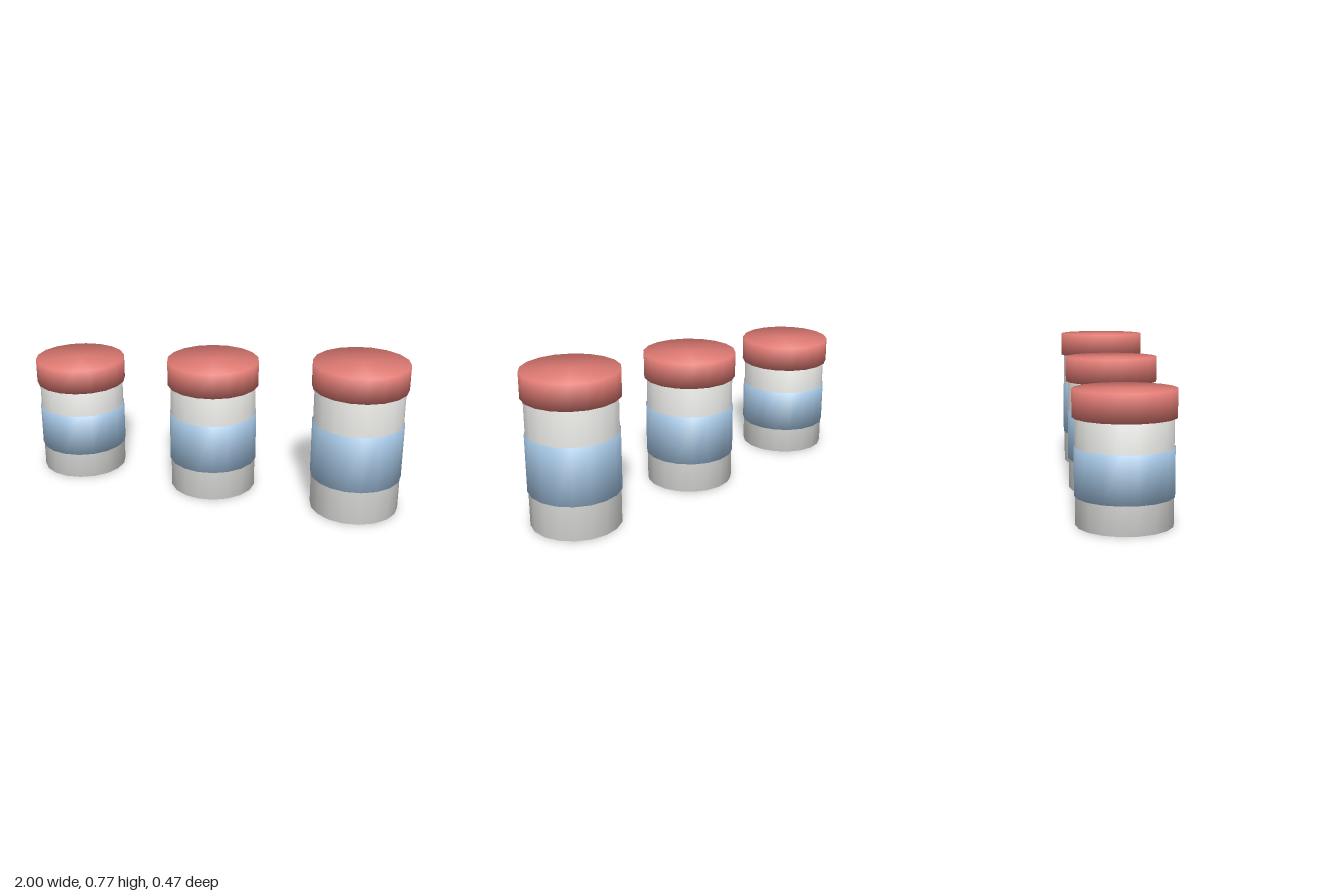
import * as THREE from 'three';
import { mergeVertices } from 'three/addons/utils/BufferGeometryUtils.js';

const SIDES = 18;

// Closed cylinder whose normals are smoothed across the rims
function smoothCylinder(radius, bottom, top) {
  const geometry = new THREE.CylinderGeometry(radius, radius, top - bottom, SIDES);
  geometry.deleteAttribute('normal');
  geometry.deleteAttribute('uv');
  const welded = mergeVertices(geometry, 1e-5);
  welded.computeVertexNormals();
  welded.translate(0, (top + bottom) / 2, 0);
  return welded;
}

function flatColor(name, color) {
  const material = new THREE.MeshStandardMaterial({ color });
  material.name = name;
  return material;
}

export function createModel() {
  const white = flatColor('bottle white', 0xe2e2df);
  const blue = flatColor('label blue', 0xa4c5e3);
  const red = flatColor('lid red', 0xe07b74);

  const model = new THREE.Group();
  model.name = 'bottles';

  // Three bottles in a row, growing taller towards +x
  [0.487, 0.564, 0.641].forEach((height, i) => {
    const bottle = new THREE.Group();
    bottle.name = ['smallBottle', 'mediumBottle', 'largeBottle'][i];
    bottle.position.x = (i - 1) * 0.767;

    const add = (name, radius, bottom, top, material) => {
      const mesh = new THREE.Mesh(smoothCylinder(radius, bottom, top), material);
      mesh.name = name;
      bottle.add(mesh);
    };
    add('body', 0.223, 0, height, white);
    add('label', 0.228, height * 0.275, height * 0.725, blue);
    add('lid', 0.237, height, height + 0.127, red);
    model.add(bottle);
  });

  return model;
}
